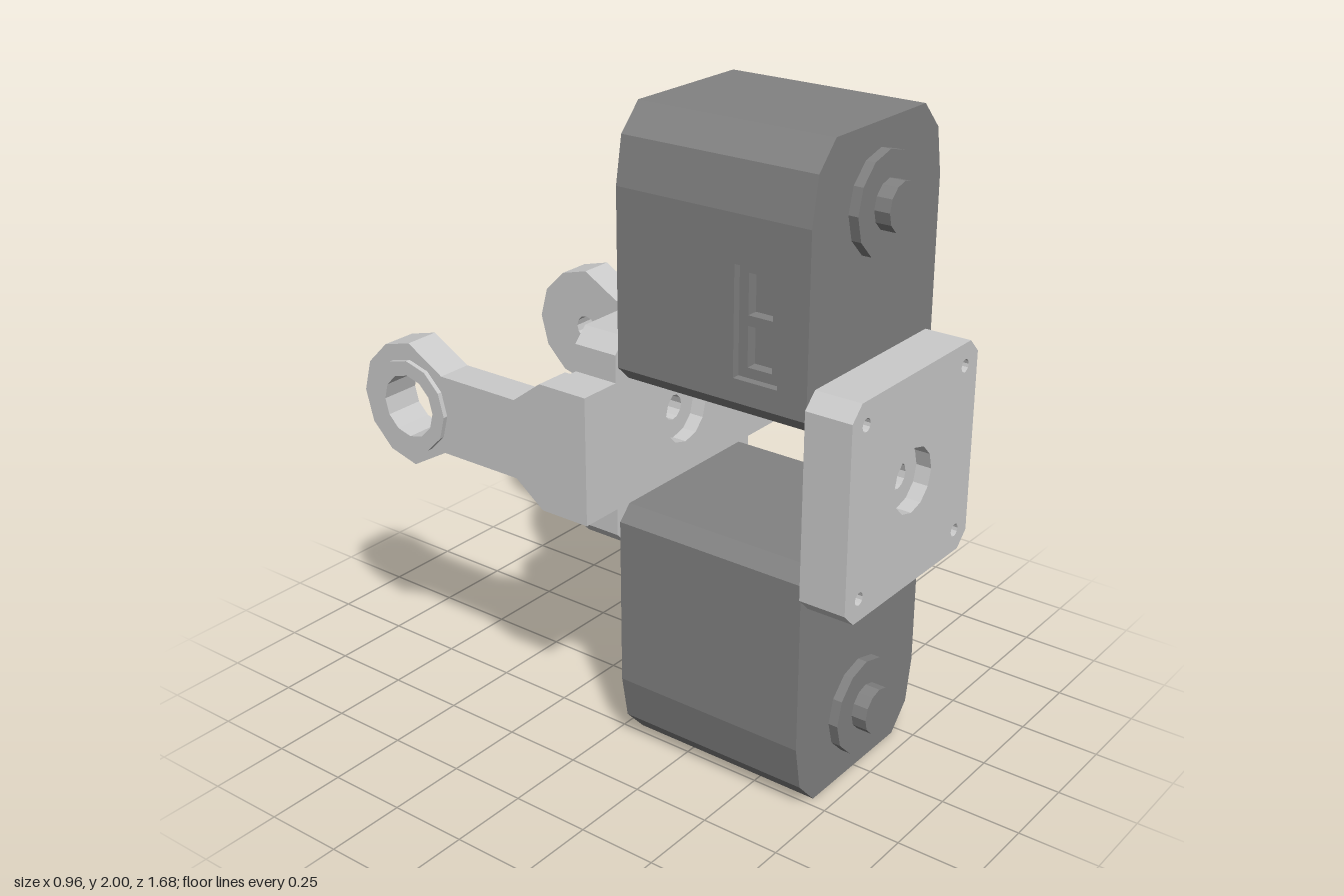
import * as THREE from 'three';

const light = new THREE.MeshStandardMaterial({ color: 0xcccccc, flatShading: true });
const dark = new THREE.MeshStandardMaterial({ color: 0x828282, flatShading: true });

// Closed outlines as lists of points
const ring = (x, y, r, n = 12) => Array.from({ length: n }, (_, i) => {
  const a = (i / n) * Math.PI * 2;
  return [x + r * Math.cos(a), y + r * Math.sin(a)];
});
const rect = (x0, y0, x1, y1) => [[x0, y0], [x1, y0], [x1, y1], [x0, y1]];
const toVectors = (pts) => pts.map(([x, y]) => new THREE.Vector2(x, y));

// Extrudes an outline with holes from start to end along z
function slab(outline, holes, start, end) {
  const shape = new THREE.Shape(toVectors(outline));
  shape.holes = holes.map((h) => new THREE.Path(toVectors(h)));
  const geo = new THREE.ExtrudeGeometry(shape, { depth: end - start, bevelEnabled: false });
  return geo.translate(0, 0, start);
}

// Same, along x: the outline is drawn in (-z, y)
const sideSlab = (outline, holes, start, end) =>
  slab(outline, holes, start, end).rotateY(Math.PI / 2);

function add(parent, name, geometry, material) {
  const mesh = new THREE.Mesh(geometry, material);
  mesh.name = name;
  parent.add(mesh);
  return mesh;
}

// Servo housing hanging below the local origin, with shaft and cable socket
function servo(name) {
  const g = new THREE.Group();
  g.name = name;
  const outline = [
    [-0.22, -1], [0.22, -1], [0.295, -0.92], [0.32, -0.78],
    [0.32, -0.64], [0.26, -0.64], [0.26, -0.315], [0.32, -0.315],
    [0.32, -0.245], [0.275, -0.2], [-0.275, -0.2], [-0.32, -0.245],
    [-0.32, -0.78], [-0.295, -0.92],
  ];
  add(g, 'housing', slab(outline, [], 0.05, 0.69), dark);
  // Wall either side of the socket
  for (const [z0, z1] of [[0.05, 0.45], [0.595, 0.69]]) {
    add(g, 'socketWall', slab(rect(0.26, -0.64, 0.32, -0.315), [], z0, z1), dark);
  }
  // Recessed frame with two contact windows
  add(g, 'socketFrame', sideSlab(
    rect(-0.595, -0.64, -0.45, -0.315),
    [rect(-0.56, -0.615, -0.48, -0.495), rect(-0.56, -0.465, -0.48, -0.345)],
    0.26, 0.295), dark);
  // Shaft collar and shaft on both ends
  add(g, 'collar', slab(ring(0, -0.777, 0.15), [], 0.025, 0.72), dark);
  add(g, 'shaft', slab(ring(0, -0.777, 0.072), [], -0.06, 0.768), dark);
  return g;
}

// Mounting plate with screw holes, round front recess and square rear recess
function plate(name, z) {
  const g = new THREE.Group();
  g.name = name;
  const s = 0.33, c = 0.285;
  const outline = [[-c, -s], [c, -s], [s, -c], [s, c], [c, s], [-c, s], [-s, c], [-s, -c]];
  const screws = [];
  for (const x of [-0.26, 0.26]) for (const y of [-0.26, 0.26]) screws.push(ring(x, y, 0.02));
  const layers = [
    ['rearLayer', rect(-0.12, -0.12, 0.12, 0.12), 0, 0.05],
    ['middleLayer', ring(0, 0, 0.04), 0.05, 0.1],
    ['frontLayer', ring(0, 0, 0.1), 0.1, 0.148],
  ];
  for (const [layer, hole, z0, z1] of layers) {
    add(g, layer, slab(outline, [...screws, hole], z0, z1), light);
  }
  g.position.z = z;
  return g;
}

// Fork arm with a rounded eye; the boss sits on its outer face
function arm(name, side, holeRadius, bossRadius, bossHeight) {
  const g = new THREE.Group();
  g.name = name;
  const upper = [
    [-0.048, 0.2], [0.12, 0.2], [0.22, 0.125], [0.51, 0.125],
    [0.64, 0.2], [0.74, 0.173], [0.813, 0.1],
  ];
  const lower = upper.map(([u, v]) => [u, -v]).reverse();
  const outline = [...upper, [0.84, 0], ...lower];
  const eye = ring(0.64, 0, holeRadius);
  const span = (a, b) => (side > 0 ? [a, b] : [-b, -a]);
  add(g, 'armBar', sideSlab(outline, [eye], ...span(0.355, 0.468)), light);
  add(g, 'eyeBoss', sideSlab(ring(0.64, 0, bossRadius), [eye],
    ...span(0.468, 0.468 + bossHeight)), light);
  // Web joining the arm to the rear plate
  add(g, 'armWeb', slab(rect(...span(0.33, 0.355).flatMap((x, i) => [x, i ? 0.2 : -0.2])),
    [], -0.1, 0.048), light);
  return g;
}

export function createModel() {
  const model = new THREE.Group();
  model.name = 'servoBracket';

  const body = new THREE.Group();
  body.name = 'assembly';
  body.position.y = 1;
  model.add(body);

  // The upper servo is the lower one turned half round
  const upperServo = servo('upperServo');
  upperServo.rotation.z = Math.PI;
  body.add(servo('lowerServo'), upperServo);

  body.add(plate('frontPlate', 0.692), plate('rearPlate', -0.1));
  body.add(arm('leftArm', 1, 0.04, 0.097, 0.012), arm('rightArm', -1, 0.1, 0.147, 0.015));
  return model;
}
